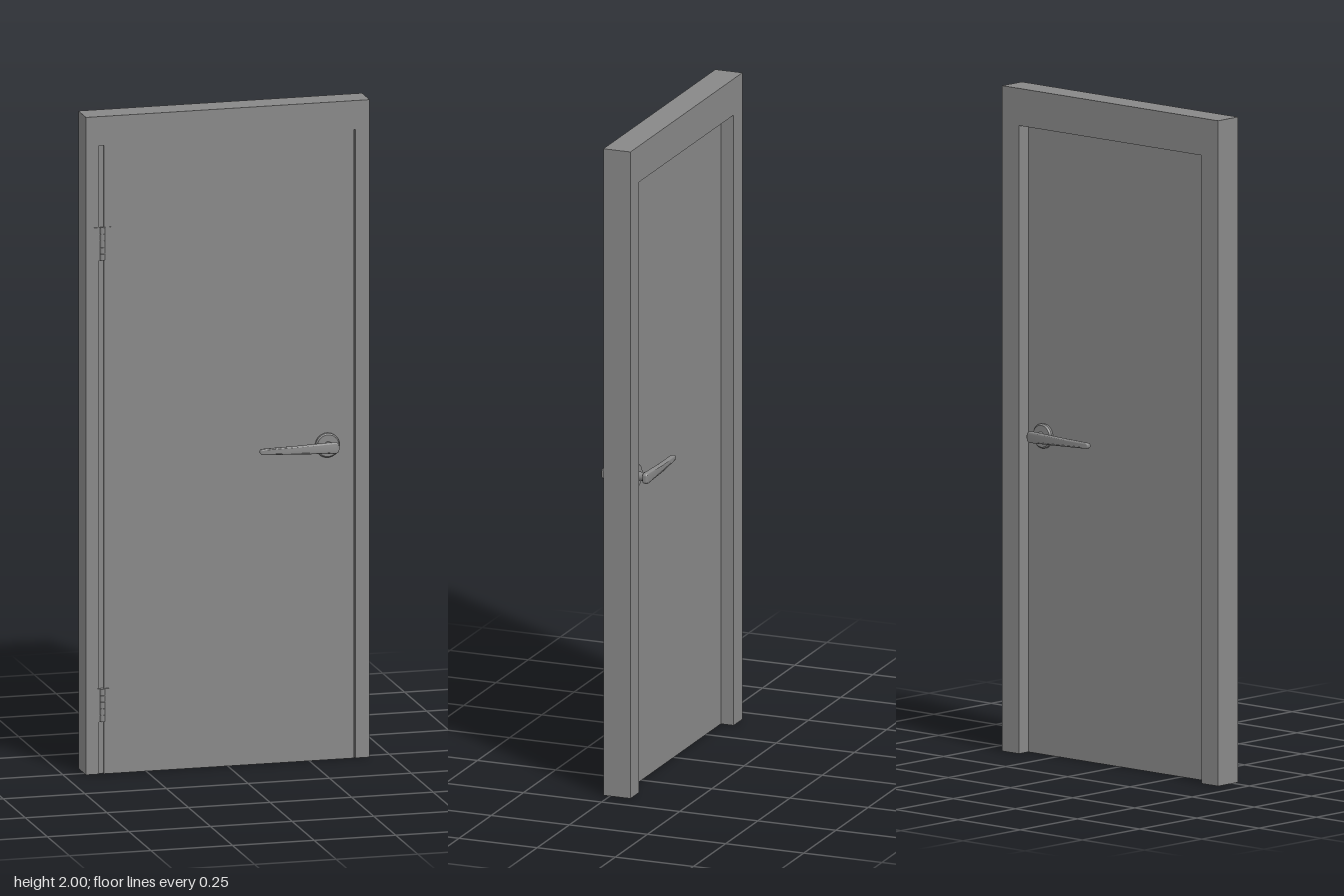
import * as THREE from 'three';
import { toCreasedNormals } from 'three/addons/utils/BufferGeometryUtils.js';

const material = new THREE.MeshStandardMaterial({ color: 0x888888 });
const FRONT = 0.021, BACK = -0.0655, DOOR_BACK = -0.0245;
const REBATE_LEFT = -0.394, REBATE_RIGHT = 0.391, REBATE_TOP = 1.912;
const DOOR_LEFT = -0.379, DOOR_RIGHT = 0.386;

function add(parent, name, geometry, x = 0, y = 0, z = 0) {
  const mesh = new THREE.Mesh(geometry, material);
  mesh.name = name;
  mesh.position.set(x, y, z);
  parent.add(mesh);
  return mesh;
}

// Door surround open at the floor, extruded from z0 to z1
function surround(left, right, top, z0, z1) {
  const shape = new THREE.Shape([
    [-0.4345, 0], [left, 0], [left, top], [right, top],
    [right, 0], [0.4345, 0], [0.4345, 2], [-0.4345, 2],
  ].map(([x, y]) => new THREE.Vector2(x, y)));
  return new THREE.ExtrudeGeometry(shape, { depth: z1 - z0, bevelEnabled: false }).translate(0, 0, z0);
}

// Upright slab standing on the floor, between x0..x1 and z0..z1
function addSlab(parent, name, x0, x1, z0, z1) {
  add(parent, name, new THREE.BoxGeometry(x1 - x0, REBATE_TOP, z1 - z0),
    (x0 + x1) / 2, REBATE_TOP / 2, (z0 + z1) / 2);
}

// Tapered lever with rounded ends, its thin end bent toward the door
function leverGeometry() {
  const s = new THREE.Shape();
  s.moveTo(-0.206, -0.0045);
  s.lineTo(-0.1, -0.0085);
  s.lineTo(0.012, -0.013);
  s.quadraticCurveTo(0.021, -0.013, 0.021, -0.005);
  s.lineTo(0.021, 0.005);
  s.quadraticCurveTo(0.021, 0.013, 0.012, 0.013);
  s.lineTo(-0.1, 0.0085);
  s.lineTo(-0.206, 0.0045);
  s.quadraticCurveTo(-0.212, 0.0045, -0.212, 0);
  s.quadraticCurveTo(-0.212, -0.0045, -0.206, -0.0045);
  const g = new THREE.ExtrudeGeometry(s, {
    depth: 0.008, bevelThickness: 0.004, bevelSize: 0.004, bevelSegments: 3, curveSegments: 6,
  });
  const p = g.attributes.position;
  for (let i = 0; i < p.count; i++) {
    p.setZ(i, p.getZ(i) + 0.0385 + Math.min(0, p.getX(i) + 0.1) * 0.05);
  }
  return toCreasedNormals(g, 0.6);
}

// Handle with its base on z = 0, pointing along +z
function createHandle(name) {
  const handle = new THREE.Group();
  handle.name = name;
  const profile = [[0, 0], [0.037, 0], [0.037, 0.007], [0.033, 0.012], [0, 0.012]]
    .map(([r, h]) => new THREE.Vector2(r, h));
  const rosette = new THREE.LatheGeometry(profile, 32).rotateX(Math.PI / 2);
  add(handle, 'rosette', toCreasedNormals(rosette, 0.5));
  add(handle, 'stem', new THREE.CylinderGeometry(0.013, 0.013, 0.03, 24).rotateX(Math.PI / 2), 0, 0, 0.025);
  add(handle, 'lever', leverGeometry());
  return handle;
}

function createHinge(name) {
  const hinge = new THREE.Group();
  hinge.name = name;
  add(hinge, 'frameLeaf', new THREE.BoxGeometry(0.027, 0.1, 0.003), -0.0135, 0, 0.0015);
  add(hinge, 'doorLeaf', new THREE.BoxGeometry(0.027, 0.1, 0.003), 0.0135, 0, 0.0015);
  for (let i = -2; i <= 2; i++) {
    add(hinge, 'knuckle', new THREE.CylinderGeometry(0.008, 0.008, 0.019, 16), 0, i * 0.02, 0.001);
  }
  add(hinge, 'pin', new THREE.CylinderGeometry(0.005, 0.005, 0.1, 12), 0, 0, 0.001);
  return hinge;
}

export function createModel() {
  const model = new THREE.Group();
  model.name = 'door';

  // Frame: wide rebate around the door, narrower stop behind it
  const frame = new THREE.Group();
  frame.name = 'frame';
  add(frame, 'rebate', surround(REBATE_LEFT, REBATE_RIGHT, REBATE_TOP, DOOR_BACK, FRONT));
  add(frame, 'stop', surround(-0.367, 0.367, 1.888, BACK, DOOR_BACK));
  model.add(frame);

  // Door leaf flush with the frame front, and seals set back in the side gaps
  addSlab(model, 'doorLeaf', DOOR_LEFT, DOOR_RIGHT, DOOR_BACK, FRONT);
  addSlab(model, 'hingeSideSeal', REBATE_LEFT, DOOR_LEFT, DOOR_BACK, FRONT - 0.008);
  addSlab(model, 'latchSideSeal', DOOR_RIGHT, REBATE_RIGHT, DOOR_BACK, FRONT - 0.008);

  // Handles on both faces
  const frontHandle = createHandle('frontHandle');
  frontHandle.position.set(0.304, 0.958, FRONT);
  const backHandle = createHandle('backHandle');
  backHandle.position.set(0.304, 0.958, DOOR_BACK);
  backHandle.rotation.x = Math.PI;
  model.add(frontHandle, backHandle);

  // Hinges over the gap
  for (const [name, y] of [['lowerHinge', 0.21], ['upperHinge', 1.613]]) {
    const hinge = createHinge(name);
    hinge.position.set(-0.385, y, FRONT);
    model.add(hinge);
  }
  return model;
}
